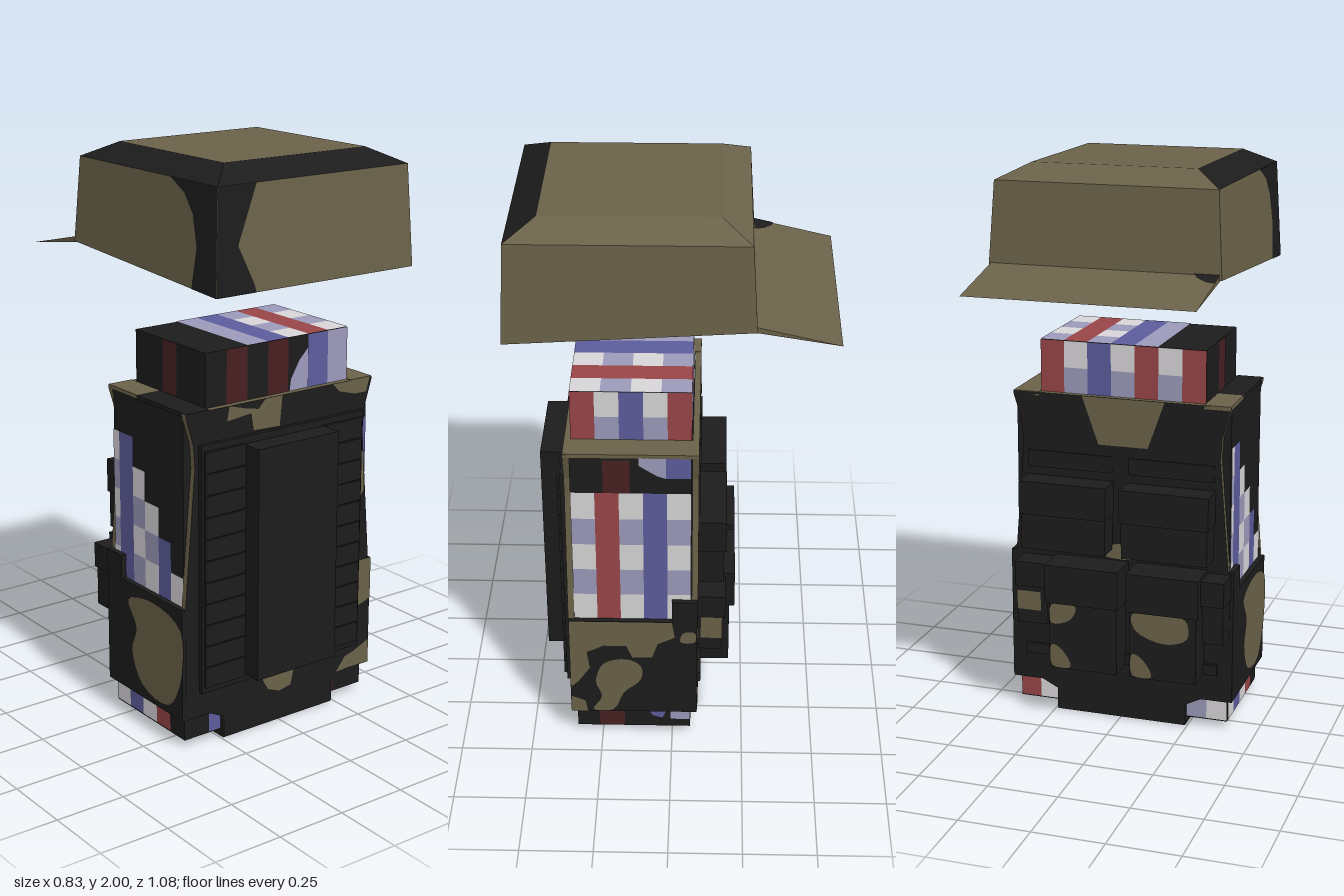
import * as THREE from 'three';

const mat = (name, color) => {
  const m = new THREE.MeshStandardMaterial({ color });
  m.name = name;
  return m;
};

export function createModel() {
  const olive = mat('olive', 0x6a6249), black = mat('black', 0x1c1c1c);
  const white = mat('white', 0xd8d6d8), lavender = mat('lavender', 0x9c9abb);
  const red = mat('red', 0x984548), blue = mat('blue', 0x5c5c9c), darkRed = mat('dark red', 0x472022);
  const model = new THREE.Group();
  model.name = 'uniform';

  const add = (parent, name, geo, material) => {
    const mesh = new THREE.Mesh(geo, material);
    mesh.name = name;
    parent.add(mesh);
    return mesh;
  };
  const group = (name) => {
    const g = new THREE.Group();
    g.name = name;
    model.add(g);
    return g;
  };
  // Box from its limits on each axis
  const box = (parent, name, material, [x0, x1], [y0, y1], [z0, z1]) =>
    add(parent, name, new THREE.BoxGeometry(x1 - x0, y1 - y0, z1 - z0)
      .translate((x0 + x1) / 2, (y0 + y1) / 2, (z0 + z1) / 2), material);

  // Flat patch placed on a side of the body; sign keeps it facing outwards
  const sides = {
    front: [1, (a, b, d) => [a, b, d]],
    back: [-1, (a, b, d) => [a, b, -d]],
    right: [-1, (a, b, d) => [d, b, a]],
    left: [1, (a, b, d) => [-d, b, a]],
    top: [-1, (a, b, d) => [a, d, b]],
    under: [1, (a, b, d) => [a, d, b]],
  };
  const patch = (parent, name, material, side, d, pts, smooth = false) => {
    const [sign, map] = sides[side];
    let v = pts.map(([a, b]) => new THREE.Vector2(a * sign, b));
    if (smooth) {
      const c = new THREE.CatmullRomCurve3(v.map((p) => new THREE.Vector3(p.x, p.y, 0)), true, 'centripetal');
      v = c.getPoints(pts.length * 4).slice(0, -1).map((p) => new THREE.Vector2(p.x, p.y));
    }
    const geo = new THREE.ShapeGeometry(new THREE.Shape(v));
    const pos = geo.attributes.position;
    for (let i = 0; i < pos.count; i++) pos.setXYZ(i, ...map(pos.getX(i) * sign, pos.getY(i), d));
    geo.computeVertexNormals();
    return add(parent, name, geo, material);
  };
  const rect = (parent, name, material, side, d, a0, a1, b0, b1) =>
    patch(parent, name, material, side, d, [[a0, b0], [a1, b0], [a1, b1], [a0, b1]]);

  // Checked cloth: one letter per column, W columns alternate white and lavender
  const cloth = { R: red, B: blue, D: darkRed, L: lavender };
  const plaid = (parent, side, d, a0, a1, b0, b1, columns, rows) => {
    const w = (a1 - a0) / columns.length, h = (b1 - b0) / rows;
    [...columns].forEach((c, i) => {
      const l = a0 + i * w;
      if (cloth[c]) rect(parent, 'shirtStripe', cloth[c], side, d, l, l + w, b0, b1);
      if (c === 'W') for (let j = 0; j < rows; j++)
        rect(parent, 'shirtCheck', (rows - j) % 2 ? white : lavender, side, d, l, l + w, b0 + j * h, b0 + (j + 1) * h);
    });
  };

  // Shirt
  const shirt = group('shirt');
  box(shirt, 'shirtBody', black, [-0.391, 0.391], [0.025, 1.18], [-0.065, 0.34]);
  box(shirt, 'collar', black, [-0.298, 0.298], [1.18, 1.375], [-0.063, 0.338]);
  plaid(shirt, 'right', 0.3, -0.065, 0.34, 1.185, 1.375, 'RWBWR', 2);
  plaid(shirt, 'front', 0.34, -0.3, 0.3, 1.185, 1.375, '-D-D-BL', 2);
  patch(shirt, 'collarCheck', lavender, 'front', 0.34, [[0.05, 1.19], [0.128, 1.19], [0.128, 1.33], [0.09, 1.29], [0.055, 1.23]]);
  plaid(shirt, 'back', 0.065, -0.3, 0.3, 1.185, 1.375, 'RWRWBWR', 2);
  plaid(shirt, 'left', 0.3, -0.065, 0.34, 1.185, 1.375, '--D--', 2);
  plaid(shirt, 'top', 1.377, -0.3, 0.3, -0.065, 0.34, '--LBWRW', 4);
  plaid(shirt, 'right', 0.394, -0.065, 0.34, 0.515, 1.04, 'WBWRW', 5);
  rect(shirt, 'shoulderStripe', darkRed, 'right', 0.394, 0.14, 0.23, 1.04, 1.17);
  rect(shirt, 'shoulderStripe', blue, 'right', 0.394, -0.065, 0.02, 1.1, 1.18);
  patch(shirt, 'shoulderCheck', lavender, 'right', 0.394, [[0.02, 1.1], [0.05, 1.11], [0.11, 1.15], [0.11, 1.18], [0.02, 1.18]]);
  // Checks on the other side step down towards the front
  [['W', -0.065, -0.03, 5], ['B', -0.03, 0.05, 5], ['W', 0.05, 0.12, 4], ['W', 0.12, 0.2, 3], ['B', 0.2, 0.27, 2], ['W', 0.27, 0.34, 1]]
    .forEach(([column, z0, z1, rows]) => plaid(shirt, 'left', 0.394, z0, z1, 0.515, 0.515 + rows * 0.105, column, rows));
  rect(shirt, 'hemStripe', darkRed, 'right', 0.394, 0.17, 0.26, 0.03, 0.11);
  patch(shirt, 'hemStripe', blue, 'right', 0.394, [[0.09, 0.11], [0.07, 0.075], [0.035, 0.065], [0.015, 0.11]]);
  rect(shirt, 'hemCheck', lavender, 'right', 0.394, -0.065, 0.005, 0.06, 0.11);
  plaid(shirt, 'left', 0.394, -0.065, 0.34, 0.03, 0.11, 'WBWR-', 1);
  rect(shirt, 'frontStripe', blue, 'front', 0.343, -0.29, -0.24, 0.03, 0.11);
  rect(shirt, 'frontStripe', darkRed, 'front', 0.343, 0.24, 0.262, 0.03, 0.11);
  rect(shirt, 'frontStripe', blue, 'front', 0.343, 0.36, 0.39, 0.515, 1.04);
  plaid(shirt, 'under', 0.023, 0.24, 0.39, -0.065, 0.34, 'RW', 4);
  plaid(shirt, 'under', 0.023, -0.39, -0.24, -0.065, 0.34, 'RW', 4);
  plaid(shirt, 'back', 0.068, 0.24, 0.39, 0.03, 0.11, 'WR', 1);
  plaid(shirt, 'back', 0.068, -0.39, -0.24, 0.03, 0.11, 'WL', 1);

  // Vest: front and back plates with cut-in arm holes and olive edges
  const vest = group('vest');
  const edge = [[0.24, 0.002], [0.24, 0.08], [0.3, 0.11], [0.4, 0.11], [0.4, 0.52], [0.36, 1.0], [0.365, 1.08], [0.395, 1.18], [0.395, 1.19]];
  const outline = [...edge, ...edge.map(([x, y]) => [-x, y]).reverse()].map((p) => new THREE.Vector2(...p));
  for (const [name, z] of [['frontPlate', 0.34], ['backPlate', -0.09]])
    add(vest, name, new THREE.ExtrudeGeometry(new THREE.Shape(outline), { depth: 0.022, bevelEnabled: false }).translate(0, 0, z), [black, olive]);
  box(vest, 'lowerFlap', black, [-0.242, 0.242], [0, 0.11], [-0.088, 0.36]);
  for (const s of [-1, 1]) {
    const span = (a, b) => (s > 0 ? [a, b] : [-b, -a]);
    box(vest, 'sideBand', black, span(0.385, 0.413), [0.11, 0.515], [-0.088, 0.36]);
    box(vest, 'sideBandTab', black, span(0.385, 0.413), [0.515, 0.6], [-0.088, 0]);
    box(vest, 'shoulderStrapBack', olive, span(0.3, 0.394), [1.178, 1.192], [-0.09, 0.08]);
    box(vest, 'shoulderStrapFront', s > 0 ? olive : black, span(0.3, 0.394), [1.178, 1.192], [0.08, 0.362]);
  }
  patch(vest, 'neckOpening', olive, 'back', 0.093, [[0.14, 1.19], [0.08, 1.02], [-0.1, 1.02], [-0.16, 1.19]]);

  // Camouflage blotches on the vest
  const blob = (side, d, pts, smooth = true) => patch(vest, 'camoBlotch', olive, side, d, pts, smooth);
  blob('right', 0.416, [[0.36, 0.515], [0, 0.515], [-0.01, 0.45], [0.05, 0.42], [0.07, 0.36], [0.14, 0.36], [0.16, 0.41], [0.24, 0.41], [0.3, 0.38], [0.29, 0.31], [0.33, 0.25], [0.36, 0.22]], false);
  blob('right', 0.416, [[0.28, 0.12], [0.21, 0.12], [0.17, 0.2], [0.11, 0.26], [0.11, 0.32], [0.16, 0.35], [0.24, 0.33], [0.27, 0.25], [0.25, 0.18]]);
  blob('right', 0.416, [[0.36, 0.11], [0.3, 0.11], [0.31, 0.16], [0.36, 0.18]], false);
  blob('right', 0.416, [[-0.03, 0.43], [-0.08, 0.43], [-0.08, 0.47], [-0.04, 0.47]]);
  blob('left', 0.416, [[0.04, 0.45], [0.2, 0.49], [0.355, 0.44], [0.355, 0.26], [0.28, 0.14], [0.12, 0.16], [0.06, 0.27], [0.09, 0.36]]);
  blob('front', 0.364, [[-0.22, 1.19], [-0.23, 1.14], [-0.13, 1.15], [-0.12, 1.09], [-0.01, 1.085], [0, 1.19], [-0.07, 1.19], [-0.1, 1.16], [-0.15, 1.17]], false);
  blob('front', 0.364, [[0.22, 1.19], [0.25, 1.16], [0.32, 1.14], [0.37, 1.14], [0.385, 1.19]], false);
  blob('front', 0.364, [[0.345, 0.34], [0.412, 0.36], [0.412, 0.515], [0.345, 0.515]], false);
  blob('front', 0.364, [[-0.09, 0.2], [-0.05, 0.13], [0, 0.11], [0.05, 0.12], [0.07, 0.2]], false);
  blob('front', 0.364, [[0.26, 0.11], [0.3, 0.16], [0.34, 0.17], [0.41, 0.2], [0.41, 0.11]], false);
  blob('front', 0.364, [[0.342, 0.74], [0.37, 0.78], [0.365, 0.92], [0.342, 0.94]], false);
  blob('back', 0.093, [[0.08, 0.62], [-0.05, 0.61], [-0.08, 0.65], [0.02, 0.66]]);

  // Ribbed pack on the front face
  const pack = group('ribbedPack');
  box(pack, 'packBase', black, [-0.345, 0.345], [0.2, 1.08], [0.35, 0.378]);
  box(pack, 'packSpine', black, [-0.17, 0.17], [0.23, 1.055], [0.37, 0.458]);
  const ribs = 11, step = 0.84 / ribs;
  for (const s of [-1, 1]) for (let i = 0; i < ribs; i++) {
    const y = 0.22 + i * step;
    box(pack, 'packRib', black, s > 0 ? [0.17, 0.335] : [-0.335, -0.17], [y + 0.002, y + step - 0.002], [0.37, 0.388]);
  }

  // Pouches on the back
  const pouches = group('pouches');
  for (const [x0, x1] of [[0.03, 0.34], [-0.34, -0.03]]) {
    box(pouches, 'upperPouch', black, [x0, x1], [0.64, 0.84], [-0.178, -0.08]);
    box(pouches, 'upperPouchFlap', black, [x0 - 0.005, x1 + 0.005], [0.77, 0.89], [-0.185, -0.08]);
    box(pouches, 'chestStrap', black, [x0, x1], [0.92, 0.98], [-0.095, -0.08]);
    rect(pouches, 'pouchBasePatch', olive, 'under', 0.638, x0 + 0.02, x0 + 0.16, -0.176, -0.095);
  }
  for (const [x0, x1] of [[-0.02, 0.23], [-0.31, -0.07]]) {
    box(pouches, 'lowerPouch', black, [x0, x1], [0.21, 0.5], [-0.2, -0.08]);
    box(pouches, 'lowerPouchFlap', black, [x0 - 0.01, x1 + 0.01], [0.46, 0.6], [-0.218, -0.08]);
    blob('back', 0.203, [[x1 - 0.01, 0.22], [x1 - 0.08, 0.22], [x1 - 0.05, 0.28], [x1 - 0.01, 0.3]]);
  }
  blob('back', 0.203, [[0.22, 0.45], [0.13, 0.45], [0.15, 0.4], [0.22, 0.38]]);
  blob('back', 0.203, [[-0.08, 0.45], [-0.09, 0.39], [-0.2, 0.35], [-0.28, 0.38], [-0.27, 0.45]]);
  for (const [x0, x1] of [[0.245, 0.36], [-0.4, -0.325]]) {
    box(pouches, 'smallPouch', black, [x0, x1], [0.36, 0.5], [-0.175, -0.08]);
    box(pouches, 'smallPouchFlap', black, [x0 - 0.004, x1 + 0.004], [0.5, 0.59], [-0.185, -0.08]);
  }
  rect(pouches, 'smallPouchPatch', olive, 'right', 0.363, -0.175, -0.1, 0.41, 0.5);
  rect(pouches, 'smallPouchPatch', olive, 'back', 0.178, 0.27, 0.36, 0.41, 0.48);
  box(pouches, 'waistStrap', black, [-0.36, 0.36], [0.21, 0.25], [-0.1, -0.08]);

  // Cap: three stacked rings, closed above and below
  const cap = group('cap');
  const V = (x, y, z) => new THREE.Vector3(x, y, z);
  const ring = (x, z0, z1, yf, yb) => [V(-x, yf, z1), V(x, yf, z1), V(x, yb, z0), V(-x, yb, z0)];
  const poly = (parent, name, material, pts) => {
    const index = [];
    for (let i = 1; i < pts.length - 1; i++) index.push(0, i, i + 1);
    const g = new THREE.BufferGeometry().setFromPoints(pts).setIndex(index).toNonIndexed();
    g.computeVertexNormals();
    return add(parent, name, g, material);
  };
  const low = ring(0.404, -0.27, 0.54, 1.607, 1.658);
  const mid = ring(0.386, -0.252, 0.523, 1.948, 1.948);
  const high = ring(0.288, -0.155, 0.422, 2, 2);
  const slopes = [black, olive, olive, black];
  for (let i = 0; i < 4; i++) {
    const j = (i + 1) % 4;
    poly(cap, 'capSide', olive, [low[i], low[j], mid[j], mid[i]]);
    poly(cap, 'capSlope', slopes[i], [mid[i], mid[j], high[j], high[i]]);
  }
  poly(cap, 'capTop', olive, high);
  poly(cap, 'capUnderside', olive, [...low].reverse());

  // Dark blotches that follow the sloping cap sides: u across, v upwards
  const onSide = (i, uv) => {
    const [a, b, c, d] = [low[i], low[(i + 1) % 4], mid[(i + 1) % 4], mid[i]];
    const n = b.clone().sub(a).cross(d.clone().sub(a)).normalize().multiplyScalar(0.002);
    return uv.map(([u, v]) => a.clone().lerp(b, u).lerp(d.clone().lerp(c, u), v).add(n));
  };
  poly(cap, 'capBlotch', black, onSide(0, [[0.1, 0.45], [0.09, 0.55], [0.11, 0.75], [0.15, 0.9], [0.19, 1], [0, 1], [0, 0], [0.19, 0], [0.18, 0.08], [0.13, 0.2], [0.1, 0.38]]));
  poly(cap, 'capBlotch', black, onSide(3, [[1, 1], [0.68, 1], [0.78, 0.88], [0.84, 0.7], [0.87, 0.4], [0.84, 0], [1, 0]]));

  // Brim: thin wedge sloping down
  const w = 0.396, tip = [V(-w, 1.61, -0.54), V(w, 1.61, -0.54)];
  const up = [V(-w, 1.675, -0.262), V(w, 1.675, -0.262)], dn = [V(-w, 1.655, -0.262), V(w, 1.655, -0.262)];
  poly(cap, 'brimTop', olive, [up[0], up[1], tip[1], tip[0]]);
  poly(cap, 'brimUnderside', olive, [tip[0], tip[1], dn[1], dn[0]]);
  poly(cap, 'brimEnd', olive, [up[0], tip[0], dn[0]]);
  poly(cap, 'brimEnd', olive, [up[1], dn[1], tip[1]]);
  const onBrim = (x, z) => V(x, 1.678 + (z + 0.262) * 0.2338, z);
  poly(cap, 'brimBlotch', black, [onBrim(-w, -0.268), onBrim(-0.31, -0.268), onBrim(-0.33, -0.3), onBrim(-0.37, -0.33), onBrim(-w, -0.335)]);

  return model;
}
